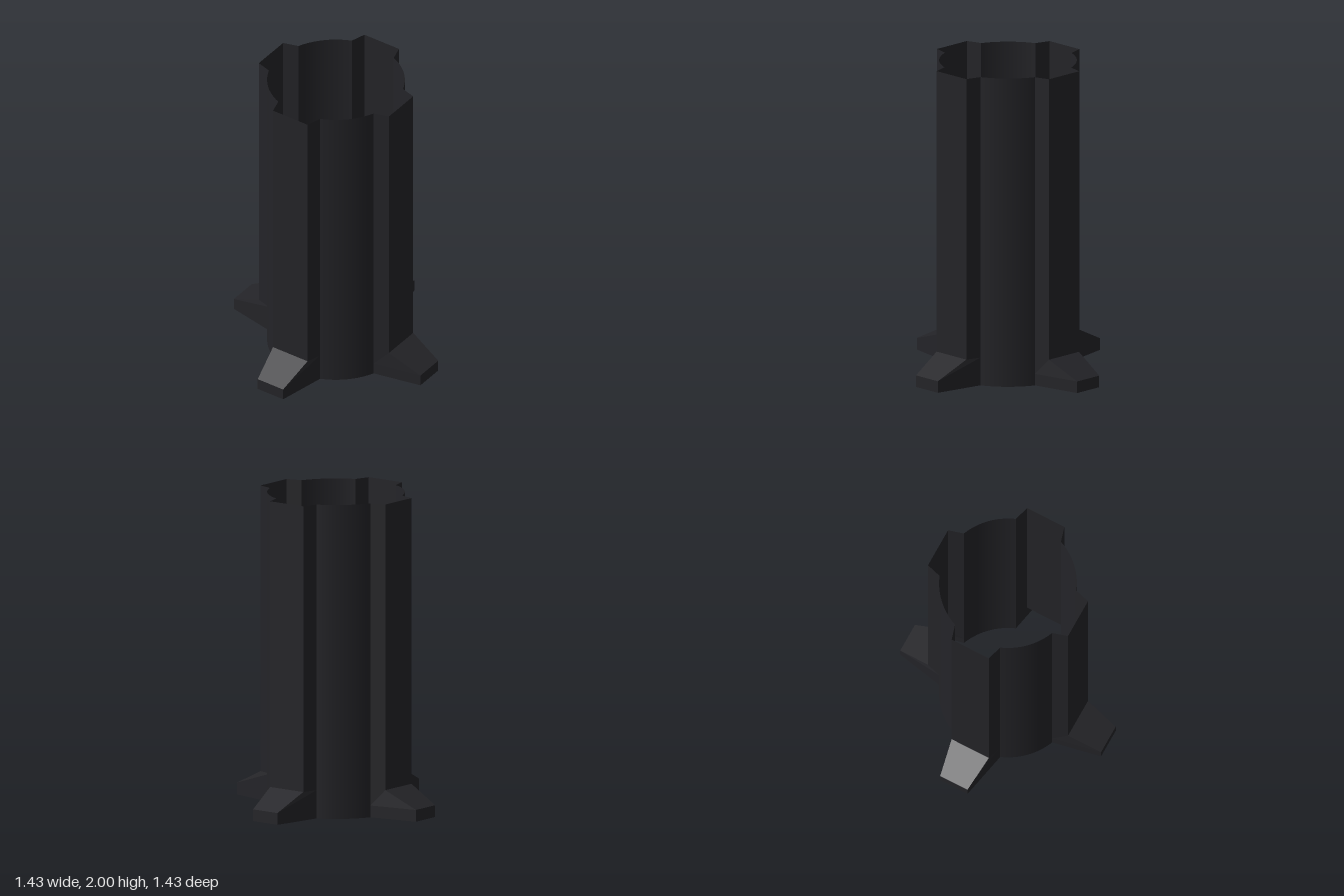
import * as THREE from 'three';

const material = new THREE.MeshStandardMaterial({ color: 0x242428, side: THREE.DoubleSide });

const HEIGHT = 2;
const ROOT_X = 0.16, ROOT_Z = 0.4; // where each rib meets the round wall

// Hollow rib with a flared foot: open cross-sections stacked from the ground up
function ribGeometry() {
  const levels = [ // [height, half width, outer z]
    [0, 0.097, 0.713],
    [0.075, 0.097, 0.713],
    [0.18, 0.132, 0.497],
    [HEIGHT, 0.132, 0.497],
  ];
  const sections = levels.map(([y, w, z]) => [
    [-ROOT_X, y, ROOT_Z], [-w, y, z], [w, y, z], [ROOT_X, y, ROOT_Z],
  ]);
  const positions = [];
  for (let i = 0; i < sections.length - 1; i++) {
    const low = sections[i], high = sections[i + 1];
    for (let j = 0; j < 3; j++) {
      const a = low[j], b = low[j + 1], c = high[j + 1], d = high[j];
      positions.push(...a, ...b, ...c, ...a, ...c, ...d);
    }
  }
  const geometry = new THREE.BufferGeometry();
  geometry.setAttribute('position', new THREE.Float32BufferAttribute(positions, 3));
  geometry.computeVertexNormals();
  return geometry;
}

// Smooth curved wall filling the gap between two ribs
function wallGeometry() {
  const radius = Math.hypot(ROOT_X, ROOT_Z);
  const start = Math.atan2(ROOT_X, ROOT_Z);
  const geometry = new THREE.CylinderGeometry(
    radius, radius, HEIGHT, 10, 1, true, start, Math.PI / 2 - 2 * start);
  return geometry.translate(0, HEIGHT / 2, 0);
}

export function createModel() {
  const model = new THREE.Group();
  model.name = 'ribbedTube';
  const rib = ribGeometry();
  const wall = wallGeometry();
  const sides = ['front', 'left', 'back', 'right'];
  const corners = ['frontLeft', 'backLeft', 'backRight', 'frontRight'];

  // Four ribs and four walls around the open tube
  for (let i = 0; i < 4; i++) {
    const ribMesh = new THREE.Mesh(rib, material);
    ribMesh.name = sides[i] + 'RibWithFoot';
    const wallMesh = new THREE.Mesh(wall, material);
    wallMesh.name = corners[i] + 'Wall';
    ribMesh.rotation.y = wallMesh.rotation.y = i * Math.PI / 2;
    model.add(ribMesh, wallMesh);
  }
  return model;
}
